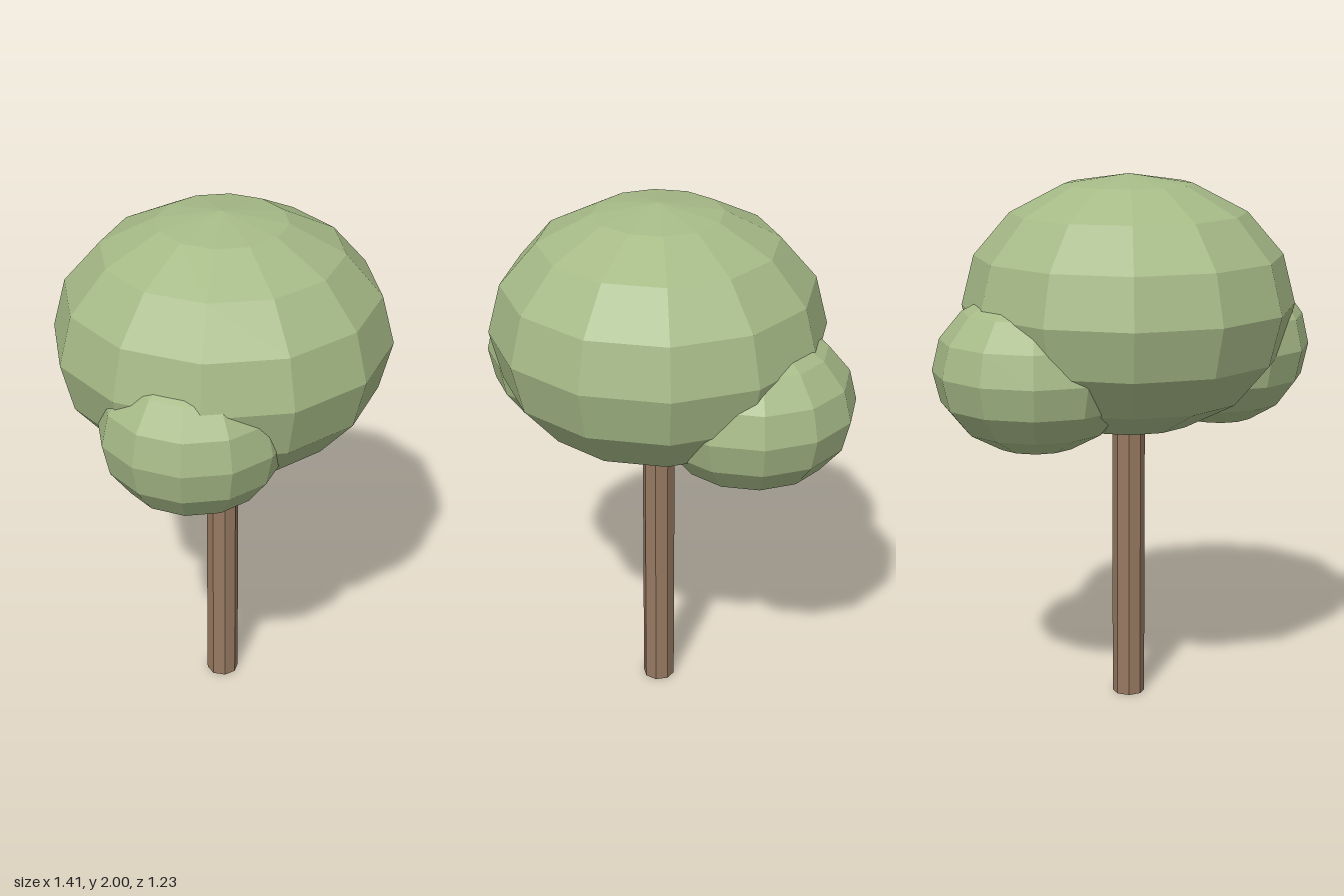
import * as THREE from 'three';

export function createModel() {
  const tree = new THREE.Group();
  tree.name = 'tree';

  const leafGreen = new THREE.MeshStandardMaterial({ color: 0xa6ba87, flatShading: true });
  leafGreen.name = 'leaf green';
  const barkBrown = new THREE.MeshStandardMaterial({ color: 0x977961, flatShading: true });
  barkBrown.name = 'bark brown';

  // Straight eight-sided trunk, its top hidden inside the crown
  const trunkHeight = 1.2;
  const trunk = new THREE.Mesh(new THREE.CylinderGeometry(0.061, 0.061, trunkHeight, 8), barkBrown);
  trunk.name = 'trunk';
  trunk.position.set(-0.017, trunkHeight / 2, 0);
  tree.add(trunk);

  // Flattened faceted balls of foliage: centre, radius, half height
  const foliage = [
    ['mainCrown', [-0.017, 1.52, 0], 0.617, 0.48],
    ['leftFoliage', [0.325, 1.31, -0.178], 0.376, 0.305],
    ['rightFoliage', [-0.365, 1.345, 0.135], 0.34, 0.305],
  ];
  for (const [name, centre, radius, halfHeight] of foliage) {
    const geometry = new THREE.SphereGeometry(1, 12, 8);
    geometry.scale(radius, halfHeight, radius);
    const ball = new THREE.Mesh(geometry, leafGreen);
    ball.name = name;
    ball.position.set(...centre);
    tree.add(ball);
  }

  return tree;
}
